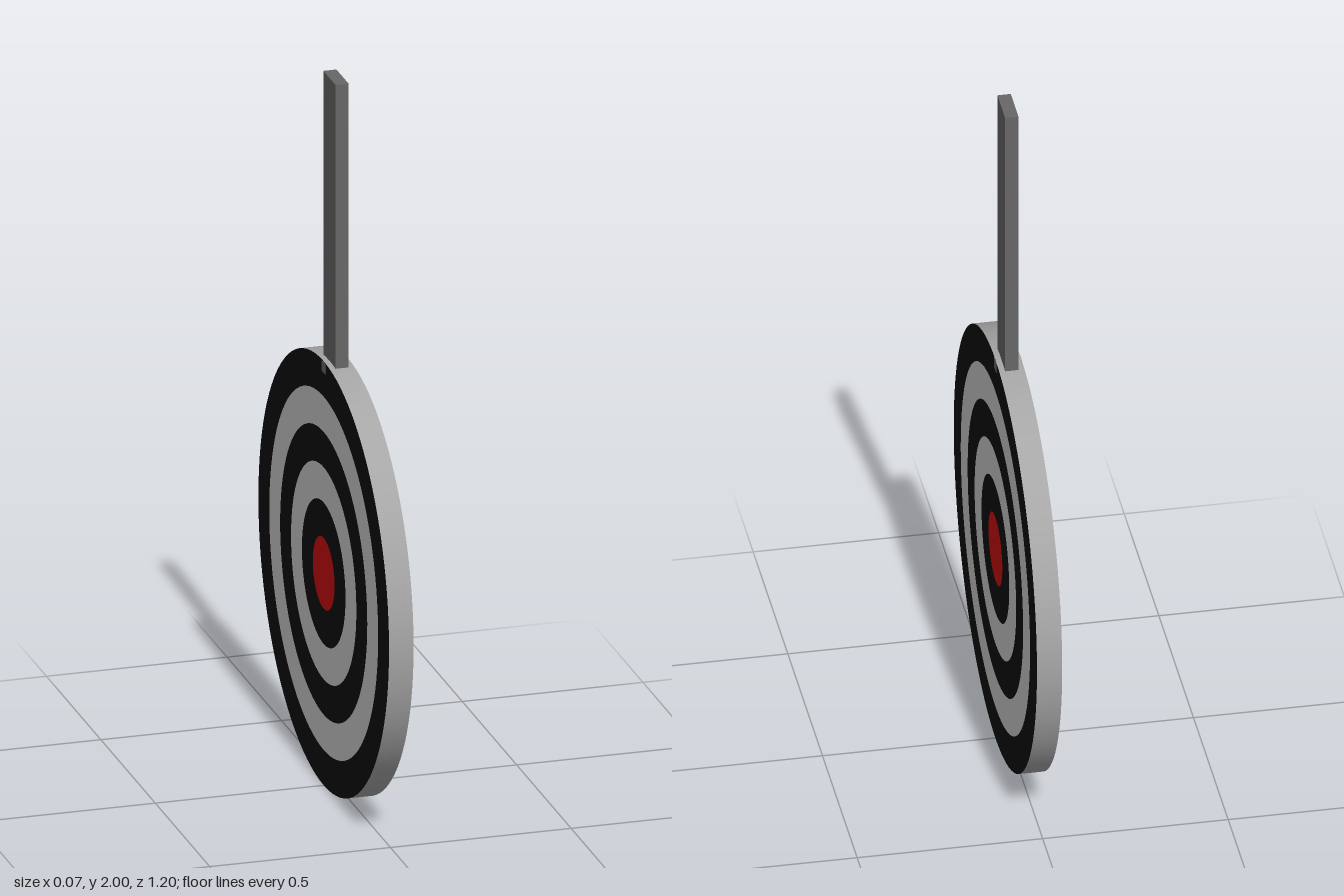
import * as THREE from 'three';

const mat = (name, color) => {
  const m = new THREE.MeshStandardMaterial({ color });
  m.name = name;
  return m;
};

export function createModel() {
  const black = mat('black', 0x0d0d0d);
  const white = mat('white', 0xcbcbcb);
  const red = mat('red', 0xcb0d0d);
  const rimGrey = mat('rimGrey', 0xa6a6a6);
  const poleGrey = mat('poleGrey', 0x676767);

  const model = new THREE.Group();
  model.name = 'hangingTarget';
  const add = (parent, name, geometry, material, x = 0, y = 0) => {
    const mesh = new THREE.Mesh(geometry, material);
    mesh.name = name;
    mesh.position.set(x, y, 0);
    parent.add(mesh);
    return mesh;
  };

  const R = 0.6, half = 0.034;
  const disc = new THREE.Group();
  disc.name = 'targetDisc';
  disc.position.y = R;
  model.add(disc);

  // smooth outer rim of the disc, axis along x
  const rim = new THREE.CylinderGeometry(R, R, half * 2, 96, 1, true).rotateZ(Math.PI / 2);
  add(disc, 'rim', rim, rimGrey);

  // concentric rings and bullseye on both faces
  const bands = [black, white, black, white, black];
  for (const side of [1, -1]) {
    const turn = side * Math.PI / 2;
    bands.forEach((material, i) => {
      const outer = R - i * 0.1;
      const ring = new THREE.RingGeometry(outer - 0.1, outer, 96).rotateY(turn);
      add(disc, 'ring' + (i + 1), ring, material, side * half);
    });
    add(disc, 'bullseye', new THREE.CircleGeometry(0.1, 96).rotateY(turn), red, side * half);
    // small grey mark below the pole
    add(disc, 'poleMark', new THREE.BoxGeometry(0.002, 0.03, 0.03), poleGrey, side * half, 0.583);
  }

  // flat hanging pole, sunk slightly into the rim
  add(model, 'pole', new THREE.BoxGeometry(0.036, 0.82, 0.112), poleGrey, 0, 1.59);

  return model;
}
